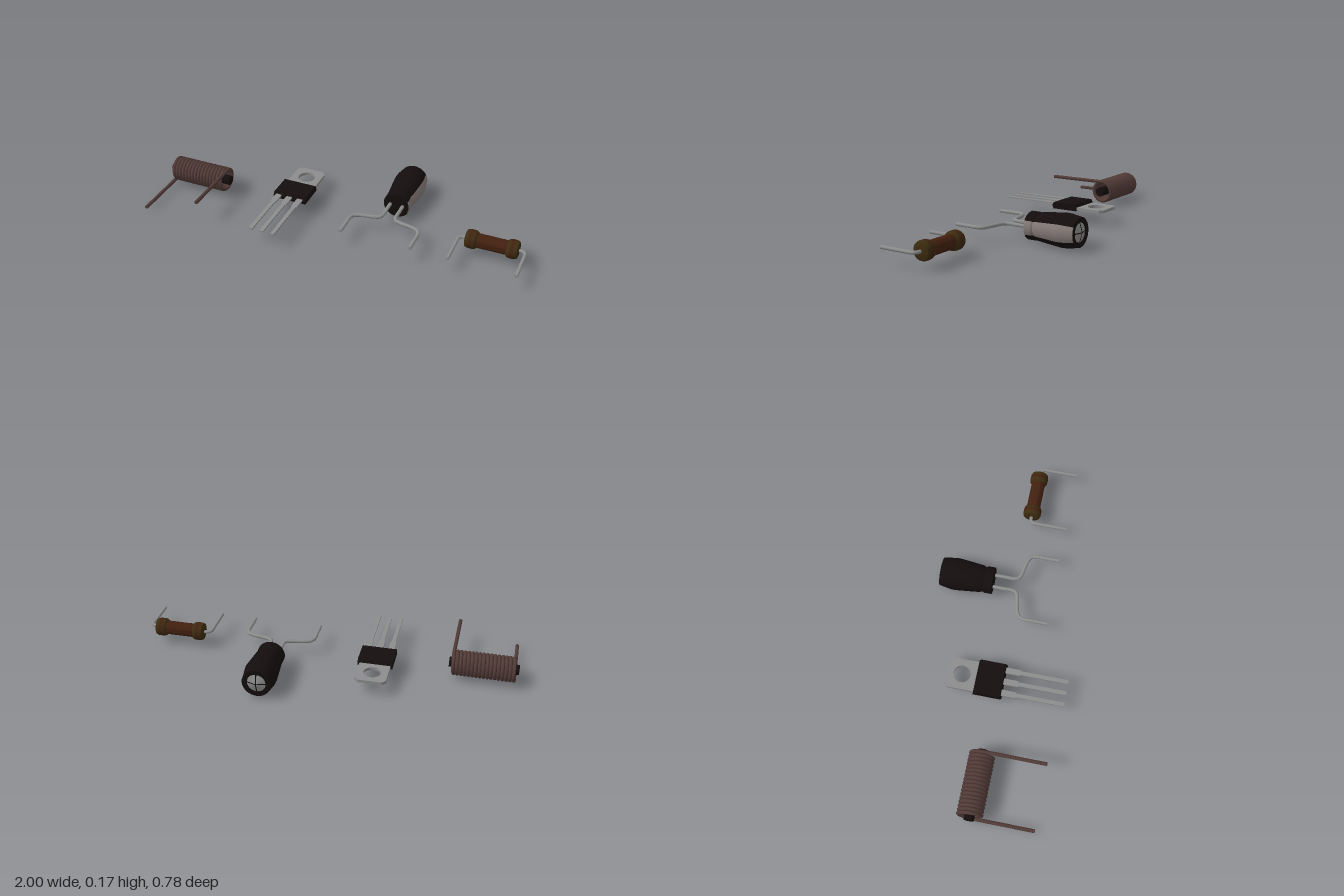
import * as THREE from 'three';
import { toCreasedNormals } from 'three/addons/utils/BufferGeometryUtils.js';

const Y = 0.088; // height of every component's axis
const V = (x, y, z) => new THREE.Vector3(x, y, z);
const mat = (color) => new THREE.MeshStandardMaterial({ color, side: THREE.DoubleSide });

const metal = mat(0x8c8c8c);
const black = mat(0x140d0d);
const copper = mat(0x503a36);
const stripeGrey = mat(0x857a78);
const brown = mat(0x42200f);
const olive = mat(0x3c2c10);

function add(parent, name, geometry, material, x = 0, y = 0, z = 0) {
  const mesh = new THREE.Mesh(geometry, material);
  mesh.name = name;
  mesh.position.set(x, y, z);
  parent.add(mesh);
  return mesh;
}

function group(parent, name, x, y, z) {
  const g = new THREE.Group();
  g.name = name;
  g.position.set(x, y, z);
  parent.add(g);
  return g;
}

// Round wire along a curve; capPoints are tips that face +z
function wire(parent, name, curve, segments, radius, material, capPoints) {
  add(parent, name, new THREE.TubeGeometry(curve, segments, radius, 10), material);
  for (const p of capPoints) {
    add(parent, name + 'Tip', new THREE.CircleGeometry(radius, 10), material, p.x, p.y, p.z);
  }
}

class Helix extends THREE.Curve {
  constructor(x0, x1, radius, turns) {
    super();
    Object.assign(this, { x0, x1, radius, turns });
  }
  getPoint(t, target = V(0, 0, 0)) {
    const a = t * this.turns * Math.PI * 2;
    return target.set(this.x0 + (this.x1 - this.x0) * t, -Math.cos(a) * this.radius, -Math.sin(a) * this.radius);
  }
}

// Wire wound coil on a dark rod, with two long leads
function buildCoil(model) {
  const g = group(model, 'coil', -0.822, Y, 0.034);
  const h = 0.158, r = 0.058;
  const tipA = V(-h, -r, 0.328), tipB = V(h, r, 0.328);
  const path = new THREE.CurvePath();
  path.add(new THREE.LineCurve3(tipA, V(-h, -r, 0)));
  path.add(new Helix(-h, h, r, 16.5));
  path.add(new THREE.LineCurve3(V(h, r, 0), tipB));
  wire(g, 'coilWinding', path, 440, 0.0096, copper, [tipA, tipB]);
  const rod = new THREE.CylinderGeometry(0.026, 0.026, 0.356, 20).rotateZ(Math.PI / 2);
  add(g, 'coilCore', rod, black);
}

// Three-pin power transistor with a drilled metal tab
function buildTransistor(model) {
  const g = group(model, 'transistor', -0.275, 0, 0);
  const w = 0.081, c = 0.02;
  const outline = [[-w, 0], [w, 0], [w, 0.235 - c], [w - c, 0.235], [c - w, 0.235], [-w, 0.235 - c]];
  const tab = new THREE.Shape(outline.map(([x, y]) => new THREE.Vector2(x, y)));
  tab.holes.push(new THREE.Path().absarc(0, 0.155, 0.045, 0, Math.PI * 2, true));
  const tabGeo = new THREE.ExtrudeGeometry(tab, { depth: 0.016, bevelEnabled: false, curveSegments: 24 });
  add(g, 'tab', tabGeo.rotateX(-Math.PI / 2), metal, 0, 0.073, 0);

  const side = [[-0.062, 0.071], [0.08, 0.071], [0.08, 0.09], [0.07, 0.106], [-0.06, 0.106], [-0.07, 0.09]];
  const bodyGeo = new THREE.ExtrudeGeometry(
    new THREE.Shape(side.map(([a, b]) => new THREE.Vector2(a, b))), { depth: 0.182, bevelEnabled: false });
  add(g, 'transistorBody', bodyGeo.rotateY(Math.PI / 2), black, -0.091, 0, 0);

  for (const x of [-0.061, 0, 0.061]) {
    add(g, 'pinShoulder', new THREE.BoxGeometry(0.032, 0.009, 0.09), metal, x, 0.095, 0.095);
    add(g, 'pin', new THREE.BoxGeometry(0.021, 0.008, 0.262), metal, x, 0.095, 0.261);
  }
}

// Electrolytic capacitor lying on its side, with bent legs
function buildCapacitor(model) {
  const g = group(model, 'capacitor', 0.27, Y, 0);
  const wall = [[0.068, 0.097], [0.072, 0.1], [0.072, 0.138], [0.066, 0.147], [0.073, 0.163],
    [0.08, 0.23], [0.0865, 0.295], [0.0855, 0.32], [0.075, 0.382]];
  const lathe = (pts, start, length, segs) => toCreasedNormals(
    new THREE.LatheGeometry(pts.map(([r, d]) => new THREE.Vector2(r, d)), segs, start, length)
      .rotateX(-Math.PI / 2), 0.45);
  const third = Math.PI / 3;
  add(g, 'sleeve', lathe(wall, 2 * third, 5 * third, 30), black);
  add(g, 'sleeveStripe', lathe(wall, third, third, 6), stripeGrey);
  add(g, 'sleeveFront', lathe([[0, 0.097], [0.068, 0.097]], 0, Math.PI * 2, 36), black);
  add(g, 'sleeveRim', lathe([[0.075, 0.382], [0.052, 0.382], [0.05, 0.376], [0, 0.376]], 0, Math.PI * 2, 36), black);

  // Four vent petals split by a cross-shaped gap
  for (let i = 0; i < 4; i++) {
    const a = (i + 0.5) * Math.PI / 2;
    const petal = new THREE.ConeGeometry(0.045, 0.014, 8, 1, true, i * Math.PI / 2, Math.PI / 2);
    petal.translate(Math.sin(a) * 0.004, 0, Math.cos(a) * 0.004).rotateX(-Math.PI / 2);
    add(g, 'ventPetal', petal, metal, 0, 0, -0.385);
  }

  const leg = [[0.034, -0.1], [0.034, -0.04], [0.034, 0.008], [0.043, 0.032], [0.07, 0.043],
    [0.145, 0.058], [0.174, 0.073], [0.185, 0.1], [0.185, 0.15], [0.185, 0.225]];
  for (const s of [-1, 1]) {
    const pts = leg.map(([x, z]) => V(s * x, 0, z));
    wire(g, 'capacitorLeg', new THREE.CatmullRomCurve3(pts), 48, 0.0098, metal, [pts[pts.length - 1]]);
  }
}

// Banded resistor with swollen ends and legs bent forward
function buildResistor(model) {
  const g = group(model, 'resistor', 0.82, Y, 0.029);
  const half = [[0.075, 0.037], [0.08, 0.045], [0.088, 0.048], [0.12, 0.048], [0.131, 0.044], [0.135, 0.034], [0.135, 0]];
  const turned = (pts) => toCreasedNormals(
    new THREE.LatheGeometry(pts.map(([x, r]) => new THREE.Vector2(r, x)), 28).rotateZ(-Math.PI / 2), 0.8);
  add(g, 'resistorBody', turned([[-0.076, 0.037], [0.076, 0.037]]), brown);
  for (const s of [-1, 1]) {
    const pts = half.map(([x, r]) => [s * x, r]);
    add(g, 'resistorEnd', turned(s > 0 ? pts : pts.reverse()), olive);
    add(g, 'endBand', turned([[s * 0.104 - 0.008, 0.0486], [s * 0.104 + 0.008, 0.0486]]), brown);

    const b = 0.03, X = s * 0.17;
    const path = new THREE.CurvePath();
    path.add(new THREE.LineCurve3(V(s * 0.13, 0, 0), V(X - s * b, 0, 0)));
    path.add(new THREE.QuadraticBezierCurve3(V(X - s * b, 0, 0), V(X, 0, 0), V(X, 0, b)));
    path.add(new THREE.LineCurve3(V(X, 0, b), V(X, 0, 0.201)));
    wire(g, 'resistorLeg', path, 40, 0.009, metal, [V(X, 0, 0.201)]);
  }
}

export function createModel() {
  const model = new THREE.Group();
  model.name = 'electronicComponents';
  buildCoil(model);
  buildTransistor(model);
  buildCapacitor(model);
  buildResistor(model);
  return model;
}
